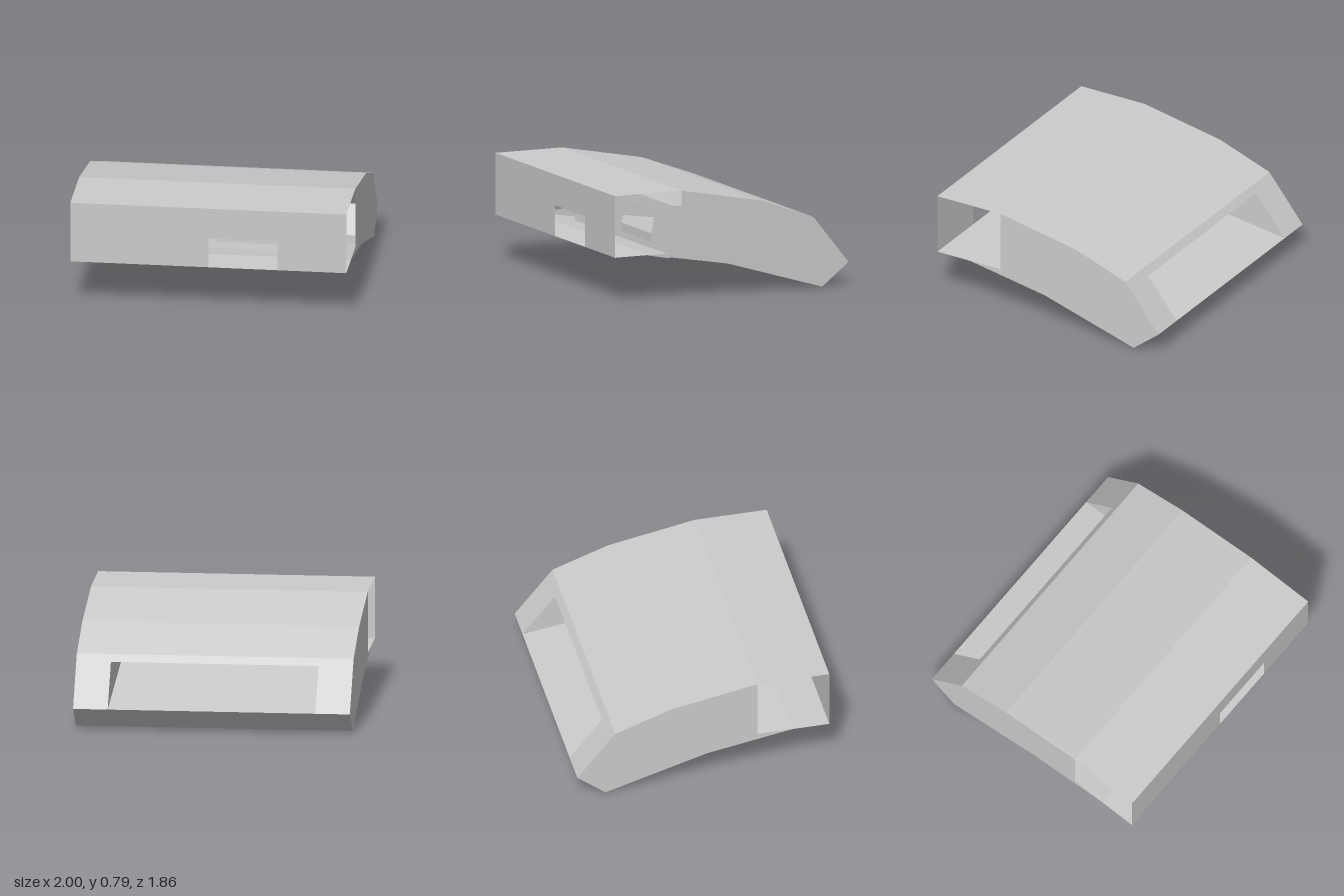
import * as THREE from 'three';

const material = new THREE.MeshStandardMaterial({
  color: 0xcccccc, flatShading: true, side: THREE.DoubleSide,
});

function addMesh(group, name, geometry) {
  const mesh = new THREE.Mesh(geometry, material);
  mesh.name = name;
  group.add(mesh);
  return mesh;
}

// Thin sheet swept along x from x0 to x1 through [z, y] profile points
function sheet(group, name, profile, x0 = -1, x1 = 1) {
  const positions = [];
  for (let i = 0; i < profile.length - 1; i++) {
    const [za, ya] = profile[i];
    const [zb, yb] = profile[i + 1];
    positions.push(x0, ya, za, x1, ya, za, x1, yb, zb);
    positions.push(x0, ya, za, x1, yb, zb, x0, yb, zb);
  }
  const geometry = new THREE.BufferGeometry();
  geometry.setAttribute('position', new THREE.Float32BufferAttribute(positions, 3));
  geometry.computeVertexNormals();
  return addMesh(group, name, geometry);
}

const outline = (points) => new THREE.Shape(points.map(([a, b]) => new THREE.Vector2(a, b)));

// Flat wall at a given x, outlined by [z, y] points
function wall(group, name, points, x) {
  const geometry = new THREE.ShapeGeometry(outline(points));
  geometry.rotateY(-Math.PI / 2).translate(x, 0, 0);
  return addMesh(group, name, geometry);
}

export function createModel() {
  const model = new THREE.Group();
  model.name = 'casing';

  // Outer shell: roof, floor and the back slope around its wide opening
  const ridge = [-0.65, 0.52], tail = [-0.93, 0.17], lintel = [-0.69, 0.47];
  sheet(model, 'roof', [[0.93, 0.79], [0.4, 0.79], [-0.24, 0.67], ridge]);
  sheet(model, 'floor', [[0.93, 0.34], [0.66, 0.34], [0.03, 0.23], [-0.72, 0.005], tail]);
  sheet(model, 'backLintel', [ridge, lintel]);
  for (const side of [-1, 1]) {
    sheet(model, 'backPost', [lintel, tail], side, side * 0.75);
    wall(model, 'sideWall', [
      [0.4, 0.79], [-0.24, 0.67], ridge, tail, [-0.72, 0.005],
      [0.03, 0.23], [0.66, 0.34], [0.4, 0.34],
    ], side);
  }

  // Front plate with a notch at its lower edge
  const front = new THREE.ShapeGeometry(outline([
    [-1, 0.34], [0, 0.34], [0, 0.565], [0.5, 0.565],
    [0.5, 0.34], [1, 0.34], [1, 0.79], [-1, 0.79],
  ]));
  front.translate(0, 0, 0.93);
  addMesh(model, 'frontPlate', front);

  // Inner chute running from the back opening to a leaning front with a foot
  const chute = new THREE.Group();
  chute.name = 'chute';
  model.add(chute);
  const toe = [0.42, 0.285], heel = [0.26, 0.258], bend = [0.255, 0.34];
  const sill = [0.41, 0.34], head = [0.373, 0.565], top = [0.36, 0.64];
  sheet(chute, 'chuteFloor', [tail, bend, heel, toe, sill], -0.75, 0.75);
  sheet(chute, 'chuteCeiling', [lintel, top, head], -0.75, 0.75);
  sheet(chute, 'chuteFrontRight', [sill, head], -0.75, 0);
  sheet(chute, 'chuteFrontLeft', [sill, head], 0.5, 0.75);
  for (const side of [-1, 1]) {
    wall(chute, 'chuteWall', [tail, bend, heel, toe, sill, top, lintel], side * 0.75);
  }

  // Tilted catch below the foot
  const catchGeometry = new THREE.ExtrudeGeometry(
    outline([[0.41, 0.287], [0.42, 0.238], [0.26, 0.207], [0.25, 0.262]]),
    { depth: 0.5, bevelEnabled: false },
  );
  catchGeometry.rotateY(-Math.PI / 2).translate(0.5, 0, 0);
  addMesh(model, 'catch', catchGeometry);

  return model;
}
